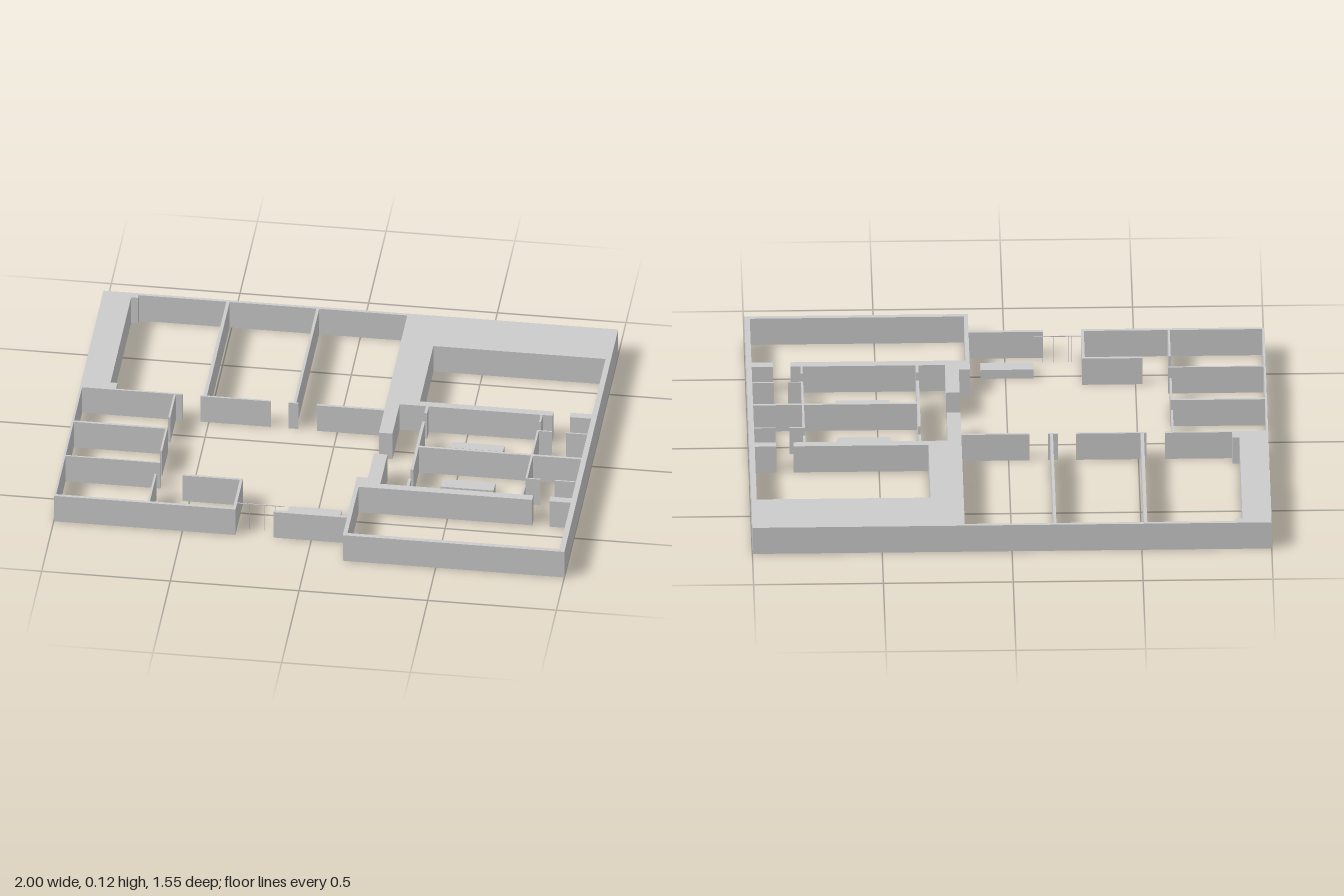
import * as THREE from 'three';

const H = 0.118; // wall height
const DESK_H = 0.04;

// Every rectangle is [x0, x1, z0, z1] on the plan.
const plan = {
  backWall: [[-0.861, 0.182, -0.775, -0.762]],
  leftBlock: [
    [-1, -0.888, -0.775, -0.104], [-0.888, -0.861, -0.775, -0.743], [-0.888, -0.861, -0.152, -0.104],
  ],
  backRightBlock: [
    [0.182, 1, -0.775, -0.567], [0.182, 0.31, -0.567, -0.152], [0.182, 0.235, -0.152, 0.053],
  ],
  rightOuterWall: [[0.979, 1, -0.567, 0.772]],
  backRoomPartition: [
    [-0.521, -0.508, -0.762, -0.11], [-0.171, -0.16, -0.762, -0.11],
    [-0.861, -0.602, -0.112, -0.104], [-0.532, -0.259, -0.112, -0.104],
    [-0.19, -0.152, -0.112, -0.104], [-0.08, 0.182, -0.112, -0.101],
  ],
  leftOuterWall: [[-1, -0.992, -0.104, 0.652], [-0.992, -0.294, 0.639, 0.652]],
  leftRoomPartition: [
    [-0.636, -0.628, -0.104, 0.056], [-0.636, -0.628, 0.131, 0.289], [-0.636, -0.628, 0.449, 0.639],
    [-0.992, -0.628, 0.126, 0.137], [-0.992, -0.623, 0.366, 0.373],
    [-0.305, -0.294, 0.447, 0.639], [-0.527, -0.294, 0.436, 0.447],
  ],
  entranceWall: [[-0.147, 0.139, 0.636, 0.65]],
  frontRightRoom: [
    [0.139, 0.155, 0.43, 0.772], [0.155, 0.979, 0.754, 0.772],
    [0.139, 0.235, 0.366, 0.433], [0.182, 0.235, 0.198, 0.366],
  ],
  corridorWall: [
    [0.31, 0.829, -0.182, -0.152], [0.896, 0.979, -0.182, -0.152],
    [0.235, 0.829, 0.401, 0.433], [0.896, 0.979, 0.401, 0.433],
  ],
  officeDivider: [[0.337, 0.979, 0.12, 0.131]],
};

// Two office fronts with the same door gaps
for (const [x0, x1] of [[0.337, 0.348], [0.783, 0.791]]) {
  for (const [z0, z1] of [[-0.152, -0.104], [-0.045, 0.289], [0.35, 0.401]])
    plan.officeDivider.push([x0, x1, z0, z1]);
}
// Closet fronts, each with a door gap
for (const z of [-0.044, 0.287]) {
  plan.officeDivider.push([0.783, 0.842, z - 0.003, z + 0.003], [0.896, 0.979, z - 0.003, z + 0.003]);
}

const desks = [[0.452, 0.658, -0.037, 0.004], [0.452, 0.658, 0.222, 0.275], [-0.108, 0.096, 0.487, 0.54]];

export function createModel() {
  const model = new THREE.Group();
  const material = new THREE.MeshStandardMaterial({ color: 0xcccccc, flatShading: true });

  function block(name, [x0, x1, z0, z1], y0, y1, parent) {
    const mesh = new THREE.Mesh(new THREE.BoxGeometry(x1 - x0, y1 - y0, z1 - z0), material);
    mesh.position.set((x0 + x1) / 2, (y0 + y1) / 2, (z0 + z1) / 2);
    mesh.name = name;
    parent.add(mesh);
  }

  // Walls, grouped by area
  for (const [name, rects] of Object.entries(plan)) {
    const group = new THREE.Group();
    group.name = name;
    rects.forEach((r, i) => block(`${name}${i + 1}`, r, 0, H, group));
    model.add(group);
  }

  // Low desks
  desks.forEach((r, i) => block(`desk${i + 1}`, r, 0, DESK_H, model));

  // Slender entrance door frame: top rail and posts
  const frame = new THREE.Group();
  frame.name = 'entranceFrame';
  block('topRail', [-0.294, -0.11, 0.603, 0.606], H - 0.003, H, frame);
  for (const x of [-0.257, -0.246, -0.187, -0.144])
    block('doorPost', [x - 0.001, x + 0.001, 0.603, 0.606], 0, H, frame);
  model.add(frame);

  return model;
}
